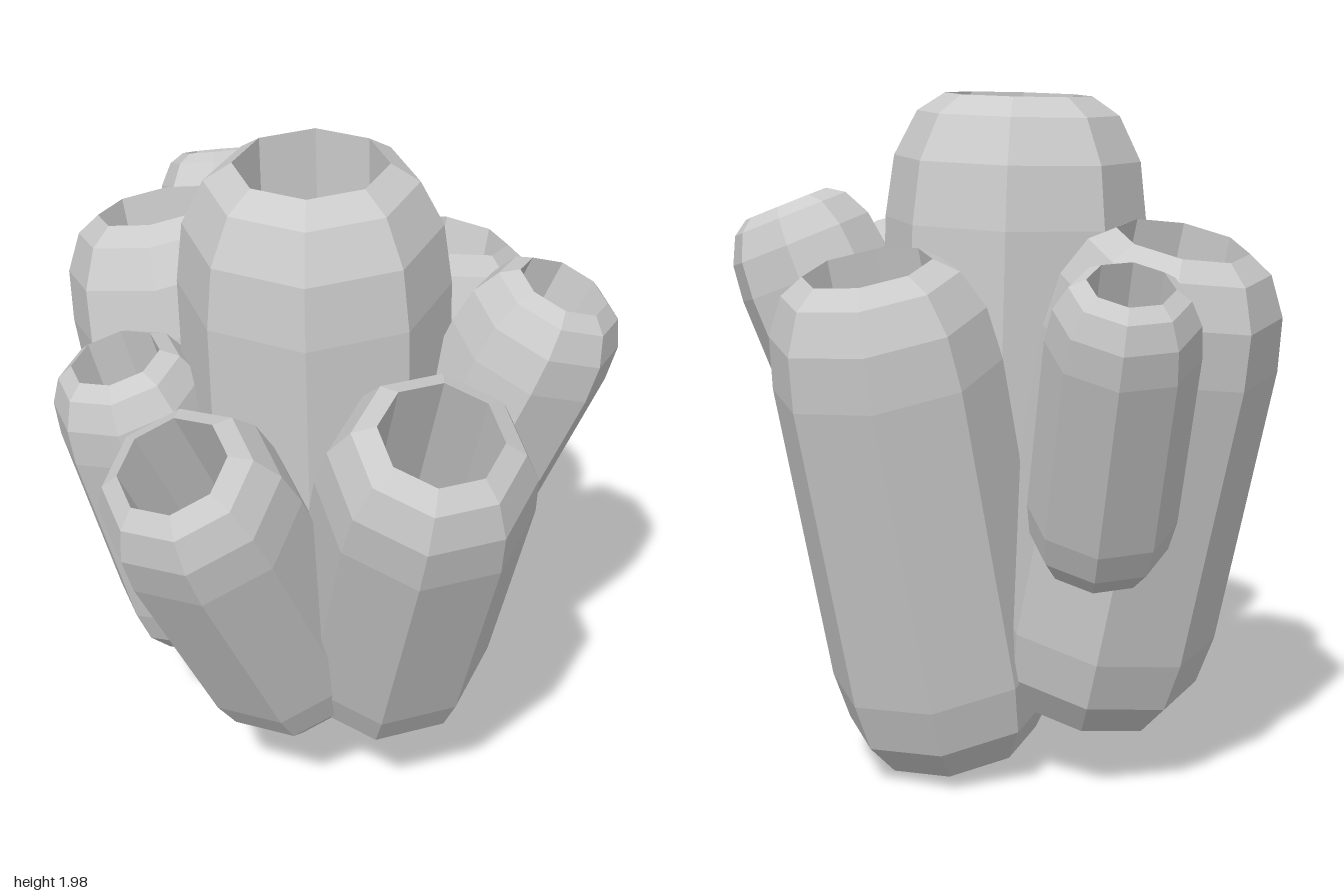
import * as THREE from 'three';

const SIDES = 8;
const material = new THREE.MeshStandardMaterial({ color: 0xcccccc, flatShading: true });

// Hollow tube with rounded ends, its foot at the origin and its rim at y = length
function tubeGeometry(length, r) {
  const holeRadius = 0.56 * r;
  const profile = [
    [0, 0], [0.38 * r, 0.02 * r], [0.73 * r, 0.18 * r], [0.93 * r, 0.5 * r], [r, 0.95 * r], // rounded foot
    [r, length - 0.95 * r], [0.94 * r, length - 0.48 * r],
    [0.77 * r, length - 0.14 * r], [holeRadius, length],                                    // shoulder and rim
    [holeRadius, 0.25 * r], [0, 0.2 * r],                                                   // hole wall and floor
  ].map(([x, y]) => new THREE.Vector2(x, y));
  const geometry = new THREE.LatheGeometry(profile, SIDES).toNonIndexed();
  geometry.computeVertexNormals();
  return geometry;
}

// Tube running from the foot point to the centre of its rim
function makeTube(name, foot, rim, radius) {
  const start = new THREE.Vector3(...foot);
  const axis = new THREE.Vector3(...rim).sub(start);
  const tube = new THREE.Mesh(tubeGeometry(axis.length(), radius), material);
  tube.name = name;
  tube.position.copy(start);
  tube.quaternion.setFromUnitVectors(new THREE.Vector3(0, 1, 0), axis.normalize());
  return tube;
}

export function createModel() {
  const group = new THREE.Group();
  group.name = 'tubeSpongeCluster';

  // name, foot, rim centre, radius
  const tubes = [
    ['centreTube', [0.08, 0.23, -0.05], [0.08, 1.97, 0.01], 0.387],
    ['backTube', [0.03, 0.02, -0.27], [0.01, 1.52, -0.605], 0.33],
    ['rightTube', [-0.24, 0.17, -0.02], [-0.59, 1.6, 0.025], 0.333],
    ['leftTube', [0.33, 0.3, -0.04], [0.79, 1.51, 0.19], 0.3],
    ['frontLeftTube', [0.21, 0.32, 0.13], [0.3, 1.39, 0.69], 0.276],
    ['frontRightTube', [-0.15, 0.37, 0.2], [-0.26, 1.38, 0.45], 0.237],
    ['backRightTube', [-0.55, 0.71, -0.26], [-0.86, 1.55, -0.43], 0.204],
    ['backLeftTube', [0.31, 0.68, -0.21], [0.61, 1.64, -0.455], 0.236],
  ];
  for (const tube of tubes) group.add(makeTube(...tube));

  return group;
}
